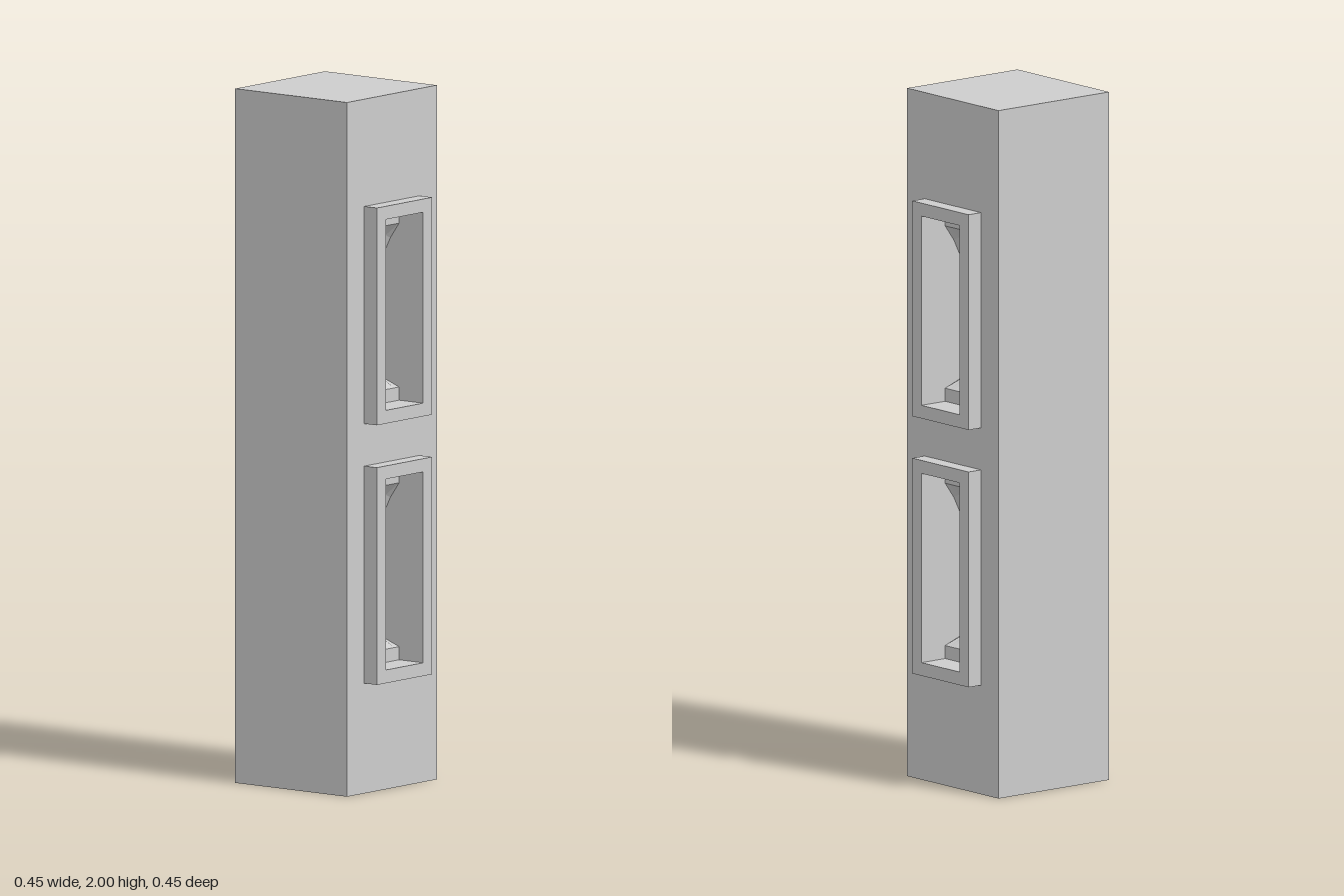
import * as THREE from 'three';

const HALF = 0.204;          // half width of the column
const DEPTH = 0.11;          // niche depth behind the wall face
const FRAME = 0.046;         // how far a frame stands out
const BACK = HALF - DEPTH;   // back wall of a niche
const OPEN = 0.17;           // opening width
const OPEN_H = 0.55;
const OPENINGS = [0.355, 1.103]; // bottom edge of each opening

const stone = new THREE.MeshStandardMaterial({ color: 0xcccccc });
stone.name = 'grey stone';

function part(name, geometry) {
  const mesh = new THREE.Mesh(geometry, stone);
  mesh.name = name;
  return mesh;
}

function rect(Type, x0, x1, y0, y1) {
  return new Type([[x0, y0], [x1, y0], [x1, y1], [x0, y1]].map(([x, y]) => new THREE.Vector2(x, y)));
}

// Upright slab with rectangular holes, from z0 outward
function slab(x0, x1, y0, y1, bottoms, z0, depth) {
  const shape = rect(THREE.Shape, x0, x1, y0, y1);
  for (const b of bottoms) shape.holes.push(rect(THREE.Path, -OPEN / 2, OPEN / 2, b, b + OPEN_H));
  return new THREE.ExtrudeGeometry(shape, { depth, bevelEnabled: false }).translate(0, 0, z0);
}

// Block across the niche: profile of [depth, height] with one gently double-humped edge
function ledge(profile, waved) {
  const shape = new THREE.Shape(profile.map(([x, y]) => new THREE.Vector2(x, y)));
  const geo = new THREE.ExtrudeGeometry(shape, { depth: OPEN, steps: 8, bevelEnabled: false });
  const pos = geo.attributes.position;
  const [wx, wy] = profile[waved];
  for (let i = 0; i < pos.count; i++) {
    if (Math.hypot(pos.getX(i) - wx, pos.getY(i) - wy) < 1e-4) {
      const hump = Math.abs(Math.sin((2 * Math.PI * pos.getZ(i)) / OPEN));
      pos.setY(i, wy + 0.014 * hump);
    }
  }
  geo.computeVertexNormals();
  return geo.translate(0, 0, -OPEN / 2).rotateY(-Math.PI / 2);
}

// One side of the column with two framed niches, facing +z before turning
function windowSide(name, x0, x1, turn) {
  const side = new THREE.Group();
  side.name = name;
  side.add(part('wall', slab(x0, x1, 0, 2, OPENINGS, BACK, DEPTH)));
  const step = 0.162;
  for (const b of OPENINGS) {
    const t = b + OPEN_H;
    const niche = new THREE.Group();
    niche.name = 'niche';
    niche.add(
      part('frame', slab(-0.126, 0.126, b - 0.038, t + 0.038, [b], HALF, FRAME)),
      part('sill', ledge([[BACK, b], [step, b], [step, b + 0.038], [BACK, b + 0.063]], 3)),
      part('header', ledge([[BACK, t], [BACK, t - 0.158], [0.13, t - 0.085], [step, t - 0.04], [step, t]], 2)),
    );
    side.add(niche);
  }
  side.rotation.y = turn;
  return side;
}

export function createModel() {
  const model = new THREE.Group();
  model.name = 'niche column';

  // Solid core behind the two niche walls
  const size = 2 * HALF - DEPTH;
  const core = part('core', new THREE.BoxGeometry(size, 2, size));
  core.position.set(-DEPTH / 2, 1, DEPTH / 2);
  model.add(core);

  model.add(windowSide('backSide', -HALF, HALF, Math.PI));
  model.add(windowSide('rightSide', -HALF, BACK, Math.PI / 2));

  // Centre the column together with its frames
  model.position.set(-FRAME / 2, 0, FRAME / 2);
  const root = new THREE.Group();
  root.name = 'column';
  root.add(model);
  return root;
}
